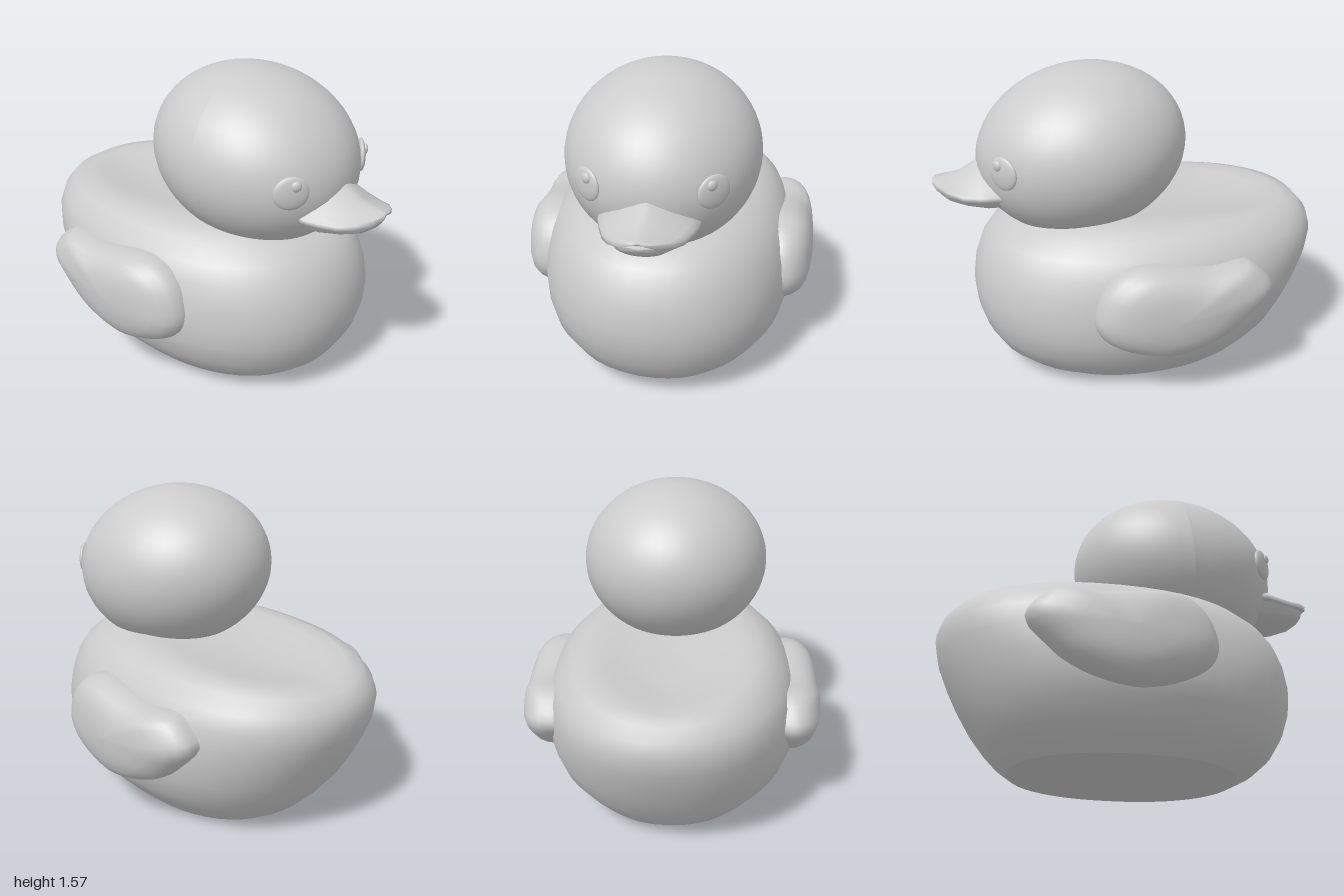
import * as THREE from 'three';

const grey = new THREE.MeshStandardMaterial({ color: 0xcccccc });

// Smooth skin over a list of closed rings with equal point counts
function loft(rings) {
  const n = rings[0].length, index = [];
  for (let i = 0; i < rings.length - 1; i++) {
    for (let j = 0; j < n; j++) {
      const a = i * n + j, b = i * n + (j + 1) % n;
      index.push(a, a + n, b, b, a + n, b + n);
    }
  }
  const geo = new THREE.BufferGeometry().setFromPoints(rings.flat());
  geo.setIndex(index);
  geo.computeVertexNormals();
  return geo;
}

function add(parent, name, geo) {
  const mesh = new THREE.Mesh(geo, grey);
  mesh.name = name;
  parent.add(mesh);
  return mesh;
}

const soft = (v, p) => Math.sign(v) * Math.abs(v) ** p;

// Horizontal oval: front/back heights, front/back ends, half width, side lift
function bodyRing([yFront, yBack, zFront, zBack, w, lift = 0]) {
  return Array.from({ length: 48 }, (_, j) => {
    const a = j / 48 * Math.PI * 2;
    const c = soft(Math.cos(a), 0.91), t = (soft(Math.sin(a), 0.91) + 1) / 2;
    return new THREE.Vector3(
      w * c,
      THREE.MathUtils.lerp(yBack, yFront, t) + lift * Math.abs(c),
      THREE.MathUtils.lerp(zBack, zFront, t));
  });
}

function buildBody(group) {
  const rings = [
    [0, 0, 0.54, -0.6, 0.43],
    [0.05, 0.05, 0.64, -0.67, 0.485],
    [0.12, 0.12, 0.72, -0.735, 0.55],
    [0.22, 0.22, 0.78, -0.81, 0.625],
    [0.33, 0.33, 0.815, -0.875, 0.655],
    [0.44, 0.44, 0.825, -0.93, 0.665],
    [0.55, 0.56, 0.81, -0.98, 0.655],
    [0.65, 0.66, 0.775, -1, 0.63],
    [0.73, 0.735, 0.72, -0.98, 0.59],
    [0.79, 0.79, 0.64, -0.93, 0.52, 0.02],
    [0.83, 0.808, 0.52, -0.85, 0.44, 0.022],
    [0.85, 0.8, 0.4, -0.74, 0.36, 0.02],
    [0.85, 0.79, 0.3, -0.64, 0.28, 0.01],
    [0.84, 0.79, 0.1, -0.5, 0.15],
    [0.81, 0.81, -0.2, -0.2, 0],
  ].map(bodyRing);
  add(group, 'body', loft(rings));
  // Flat underside with a sharp edge
  add(group, 'base', loft([bodyRing([0, 0, 0, 0, 0]), rings[0]]));
}

// Egg-shaped head, leaning slightly back toward the crown
function buildHead(group) {
  const geo = new THREE.SphereGeometry(1, 48, 32);
  geo.scale(0.485, 0.43, 0.535);
  const p = geo.attributes.position;
  for (let i = 0; i < p.count; i++) p.setZ(i, p.getZ(i) - 0.12 * p.getY(i));
  geo.computeVertexNormals();
  add(group, 'head', geo).position.set(0, 1.14, 0.24);
}

// Shallow oval eye with a small raised glint
function buildEye(group, side) {
  const eye = new THREE.Group();
  eye.name = side > 0 ? 'leftEye' : 'rightEye';
  eye.position.set(0.29 * side, 1.135, 0.67);
  eye.rotation.y = 0.69 * side;
  add(eye, 'eyeball', new THREE.SphereGeometry(1, 32, 20)).scale.set(0.086, 0.083, 0.022);
  const glint = add(eye, 'glint', new THREE.SphereGeometry(1, 16, 12));
  glint.scale.set(0.026, 0.026, 0.014);
  glint.position.set(-0.02 * side, 0.04, 0.017);
  group.add(eye);
}

// Beak section: top line runs right to left, bottom line returns
function beakRing(z, w, top, bottom) {
  const ring = [], steps = 16;
  for (let i = 0; i <= steps; i++) {
    const u = i / steps * 2 - 1;
    ring.push(new THREE.Vector3(w * u, top(u), z));
  }
  for (let i = steps; i >= 0; i--) {
    const u = i / steps * 2 - 1;
    ring.push(new THREE.Vector3(w * u, bottom(u), z));
  }
  return ring;
}

function buildBeak(group) {
  const beak = new THREE.Group();
  beak.name = 'beak';
  // z, half width, ridge height, side height
  const upper = [
    [0.6, 0.235, 1.14, 0.99], [0.72, 0.235, 1.135, 0.99], [0.78, 0.215, 1.11, 0.985],
    [0.86, 0.185, 1.06, 0.985], [0.93, 0.145, 1.042, 1], [0.98, 0.085, 1.036, 1.015],
    [0.998, 0.035, 1.032, 1.02], [1, 0, 1.025, 1.025],
  ].map(([z, w, ridge, edge]) => beakRing(z, w,
    u => edge + (ridge - edge) * (1 - Math.abs(u) ** 1.3),
    u => edge - 0.025 * Math.min(1, w / 0.1) + 0.03 * (1 - u * u) * Math.min(1, w / 0.15)));
  add(beak, 'upperBeak', loft(upper));
  // z, half width, rim height, keel height
  const lower = [
    [0.6, 0.205, 0.965, 0.87], [0.74, 0.205, 0.965, 0.875], [0.84, 0.17, 0.965, 0.895],
    [0.92, 0.125, 0.975, 0.92], [0.96, 0.08, 0.985, 0.95], [0.978, 0.03, 0.992, 0.975],
    [0.98, 0, 0.985, 0.985],
  ].map(([z, w, rim, keel]) => beakRing(z, w,
    u => rim + 0.02 * (1 - u * u) * Math.min(1, w / 0.15),
    u => rim - (rim - keel) * Math.sqrt(1 - u * u)));
  add(beak, 'lowerBeak', loft(lower));
  group.add(beak);
}

// Pillow-shaped wing: one outline shrunk in steps while it swells outward
function buildWing(group, side) {
  const outline = new THREE.CatmullRomCurve3([
    [0.305, 0.5], [0.26, 0.62], [0.17, 0.7], [0.05, 0.73], [-0.1, 0.715], [-0.28, 0.69],
    [-0.46, 0.7], [-0.54, 0.65], [-0.595, 0.565], [-0.5, 0.44], [-0.38, 0.335],
    [-0.22, 0.265], [-0.06, 0.24], [0.1, 0.27], [0.24, 0.34], [0.3, 0.42],
  ].map(([z, y]) => new THREE.Vector3(0, y, z)), true).getPoints(48).slice(0, -1);
  const steps = [[0.97, 0.52], [1, 0.6], [0.985, 0.64], [0.94, 0.675], [0.85, 0.712],
    [0.7, 0.74], [0.5, 0.758], [0.25, 0.768], [0, 0.77]];
  const rings = steps.map(([s, x]) => {
    const ring = outline.map(p => new THREE.Vector3(
      x * side, 0.49 + (p.y - 0.49) * s, -0.1 + (p.z + 0.1) * s));
    return side > 0 ? ring : ring.reverse();
  });
  add(group, side > 0 ? 'leftWing' : 'rightWing', loft(rings));
}

export function createModel() {
  const duck = new THREE.Group();
  duck.name = 'bathDuck';
  buildBody(duck);
  buildHead(duck);
  buildBeak(duck);
  for (const side of [1, -1]) {
    buildEye(duck, side);
    buildWing(duck, side);
  }
  return duck;
}
